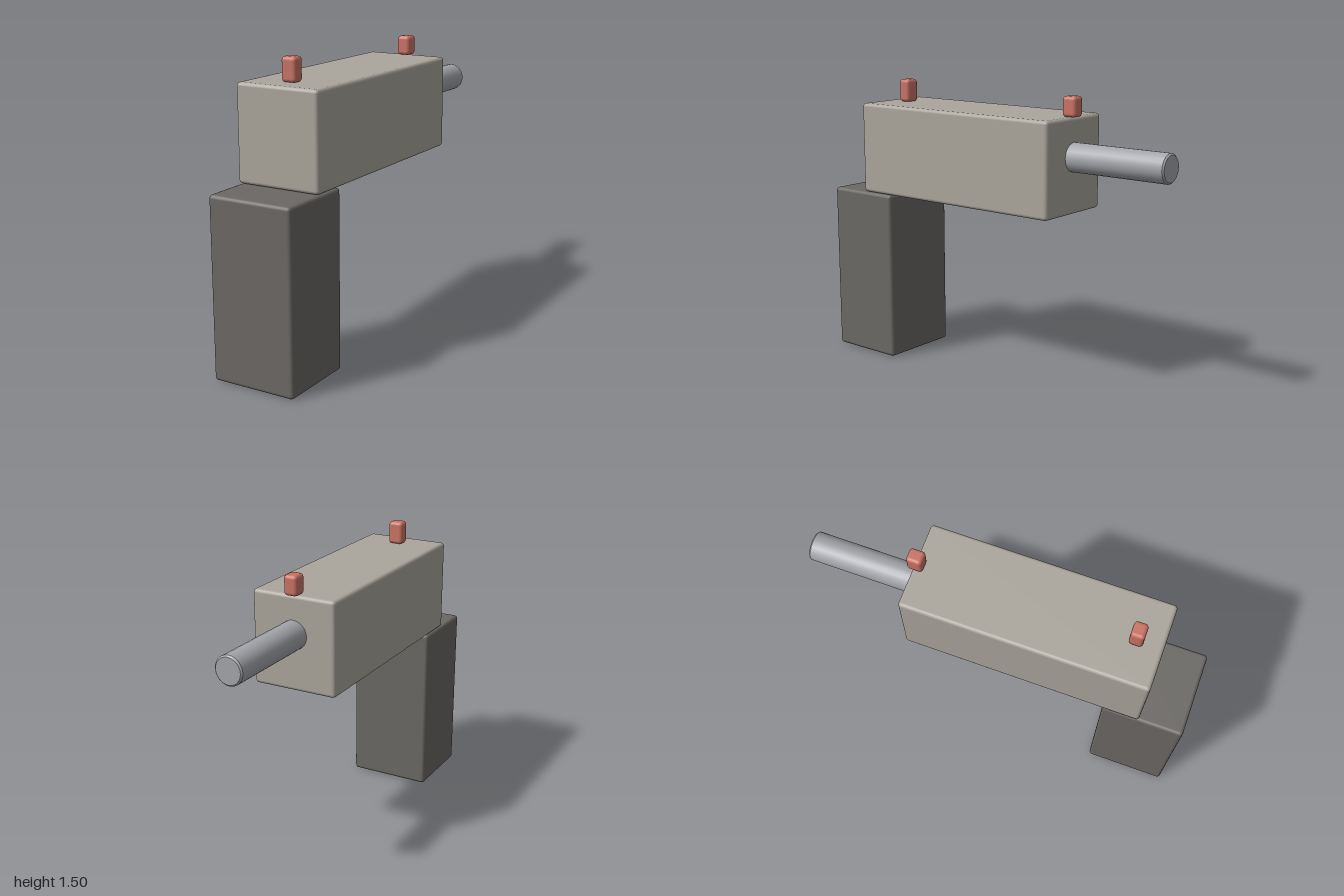
import * as THREE from 'three';
import { RoundedBoxGeometry } from 'three/addons/geometries/RoundedBoxGeometry.js';
import { toCreasedNormals } from 'three/addons/utils/BufferGeometryUtils.js';

// Rounded block given by its extents: x half-width, y range, z range
function block(name, color, halfX, [y0, y1], [z0, z1], radius) {
  const geometry = new RoundedBoxGeometry(halfX * 2, y1 - y0, z1 - z0, 2, radius);
  const mesh = new THREE.Mesh(geometry, new THREE.MeshStandardMaterial({ color }));
  mesh.name = name;
  mesh.position.set(0, (y0 + y1) / 2, (z0 + z1) / 2);
  return mesh;
}

export function createModel() {
  const model = new THREE.Group();
  const red = 0xc97264;

  // Handle and main body
  model.add(block('grip', 0x6b6864, 0.223, [0, 0.904], [0.583, 1], 0.018));
  model.add(block('body', 0xaaa59c, 0.223, [0.906, 1.385], [-0.457, 0.773], 0.018));

  // Sights on top of the body
  model.add(block('rearSight', red, 0.04, [1.385, 1.505], [0.607, 0.675], 0.018));
  model.add(block('frontSight', red, 0.036, [1.385, 1.486], [-0.483, -0.404], 0.018));

  // Round barrel with a slightly softened end, pointing to -z
  const r = 0.073, length = 0.56, bevel = 0.008;
  const profile = [
    [0, 0], [r, 0], [r, length - bevel], [r - bevel, length], [0, length],
  ].map(([x, y]) => new THREE.Vector2(x, y));
  const barrel = new THREE.Mesh(
    toCreasedNormals(new THREE.LatheGeometry(profile, 24), 0.6),
    new THREE.MeshStandardMaterial({ color: 0xa3a5aa }),
  );
  barrel.name = 'barrel';
  barrel.rotation.x = -Math.PI / 2;
  barrel.position.set(0, 1.19, -1 + length);
  model.add(barrel);

  return model;
}
